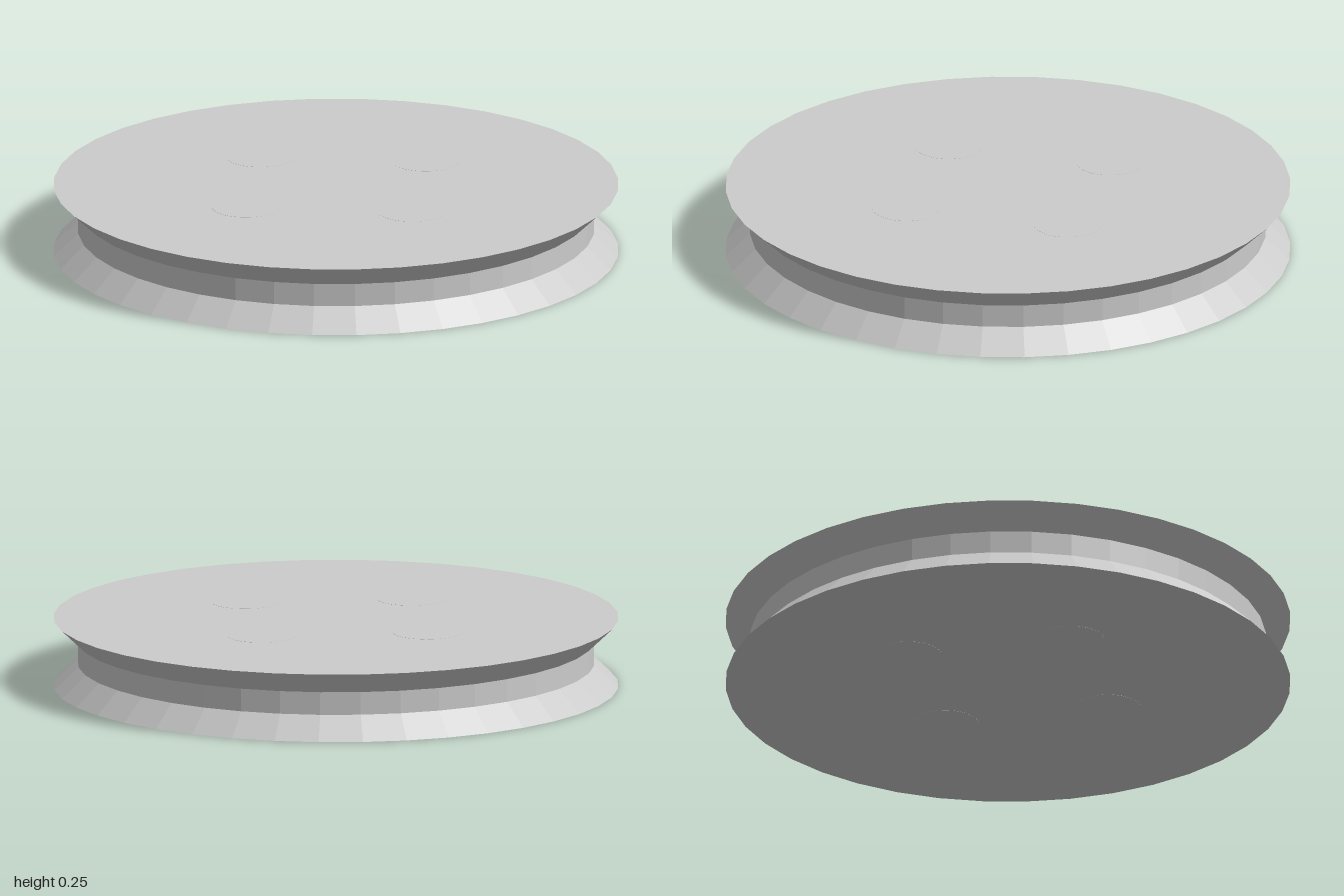
import * as THREE from 'three';

const HEIGHT = 0.245;
const SIDES = 40;

export function createModel() {
  const model = new THREE.Group();
  model.name = 'groovedWheel';
  const material = new THREE.MeshStandardMaterial({ color: 0xcccccc, flatShading: true });

  const add = (name, geometry, x, y, z) => {
    const mesh = new THREE.Mesh(geometry, material);
    mesh.name = name;
    mesh.position.set(x, y, z);
    model.add(mesh);
  };

  // Solid disc with a flared groove around the rim
  const groove = 0.915;
  const gap = 0.0005; // keeps pin faces from flickering against the disc faces
  const profile = [
    [0, gap], [1, gap], [groove, HEIGHT / 3],
    [groove, HEIGHT * 2 / 3], [1, HEIGHT - gap], [0, HEIGHT - gap],
  ].map(([r, y]) => new THREE.Vector2(r, y));
  add('groovedDisc', new THREE.LatheGeometry(profile, SIDES), 0, 0, 0);

  // Four flush pins through the disc, on the diagonals
  const pin = new THREE.CylinderGeometry(0.12, 0.12, HEIGHT, SIDES);
  for (const x of [-0.295, 0.295]) {
    for (const z of [-0.295, 0.295]) {
      const name = (z > 0 ? 'front' : 'back') + (x > 0 ? 'Left' : 'Right') + 'Pin';
      add(name, pin, x, HEIGHT / 2, z);
    }
  }

  return model;
}
